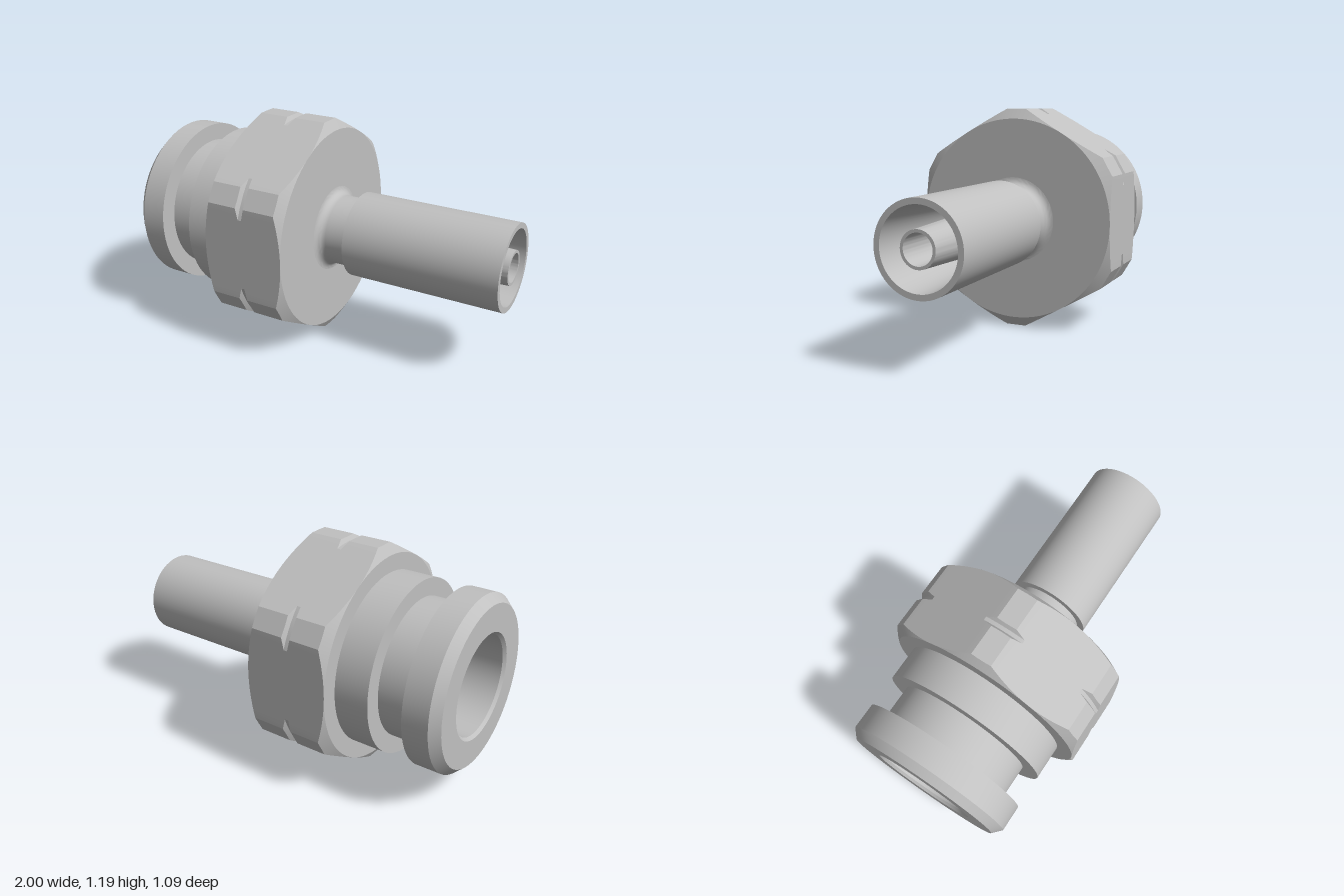
import * as THREE from 'three';
import { toCreasedNormals } from 'three/addons/utils/BufferGeometryUtils.js';

const steel = new THREE.MeshStandardMaterial({ color: 0xc0c0c0 });
steel.name = 'steel';

// Turned part: [x, radius] pairs, revolved around the x axis
function turned(name, profile) {
  const points = profile.map(([x, r]) => new THREE.Vector2(r, x));
  const geometry = new THREE.LatheGeometry(points, 72);
  geometry.rotateZ(-Math.PI / 2);
  const mesh = new THREE.Mesh(toCreasedNormals(geometry, 0.5), steel);
  mesh.name = name;
  return mesh;
}

// Hexagon with cut corners, chamfered ends and a shallow turned groove
function hexNut() {
  const x0 = -0.457, x1 = 0, mid = -0.235;
  const flat = 0.545, corner = 0.597, floor = 0.577;
  const rad = THREE.MathUtils.degToRad;

  // Angles from one corner to the middle of the next flat, then mirrored
  const half = [0, 2.6, 5.26, 7, 9, 10.83, 13, 16, 19, 22, 25, 28, 30];
  const around = [...half.slice(1).reverse().map(a => -a), ...half.slice(0, -1)];

  const sections = [];
  for (let k = 0; k < 6; k++) {
    for (const a of around) {
      const r = Math.min(corner / Math.cos(rad(a)), flat / Math.cos(rad(30 - Math.abs(a))));
      const chamfer = Math.max(0, r - flat) * 0.62;
      const g = 0.01 + Math.max(0, r - floor) * 0.65;
      const low = Math.min(r, floor);
      const angle = rad(a + k * 60);
      const profile = [
        [x0, 0.44], [x0, flat], [x0 + chamfer, r],
        [mid - g, r], [mid - 0.01, low], [mid + 0.01, low], [mid + g, r],
        [x1 - chamfer, r], [x1, flat], [x1, 0.22],
      ];
      sections.push(profile.map(([x, q]) => [x, q * Math.cos(angle), q * Math.sin(angle)]));
    }
  }

  const positions = [];
  sections.forEach((s, i) => {
    const t = sections[(i + 1) % sections.length];
    for (let j = 0; j < s.length - 1; j++) {
      positions.push(...s[j], ...t[j], ...t[j + 1], ...s[j], ...t[j + 1], ...s[j + 1]);
    }
  });
  const geometry = new THREE.BufferGeometry();
  geometry.setAttribute('position', new THREE.Float32BufferAttribute(positions, 3));
  const mesh = new THREE.Mesh(toCreasedNormals(geometry, 0.3), steel);
  mesh.name = 'hexNut';
  return mesh;
}

export function createModel() {
  const group = new THREE.Group();
  group.name = 'pipeFitting';

  // Grooved collar with its wide bore
  group.add(turned('groovedCollar', [
    [-0.2, 0.075], [-0.2, 0.258], [-0.985, 0.258], [-1, 0.273], [-1, 0.415],
    [-0.955, 0.457], [-0.82, 0.457], [-0.82, 0.365], [-0.64, 0.365],
    [-0.64, 0.457], [-0.45, 0.457],
  ]));

  group.add(hexNut());

  // Neck with a rounded fillet against the nut
  const neck = [];
  for (let i = 0; i <= 8; i++) {
    const a = (i / 8) * Math.PI / 2;
    neck.push([0.045 - 0.045 * Math.cos(a), 0.231 - 0.045 * Math.sin(a)]);
  }
  neck.push([0.17, 0.186]);
  group.add(turned('neck', neck));

  // Outer sleeve, tapering inside
  group.add(turned('sleeve', [
    [0.166, 0.18], [0.166, 0.227], [1, 0.227], [1, 0.198], [0.4, 0.172], [0.4, 0.1],
  ]));

  // Tapered inner tube and the through hole
  group.add(turned('innerTube', [
    [0.4, 0.11], [1, 0.09], [1, 0.075], [-0.2, 0.075],
  ]));

  group.position.y = 0.6;
  const model = new THREE.Group();
  model.add(group);
  return model;
}
